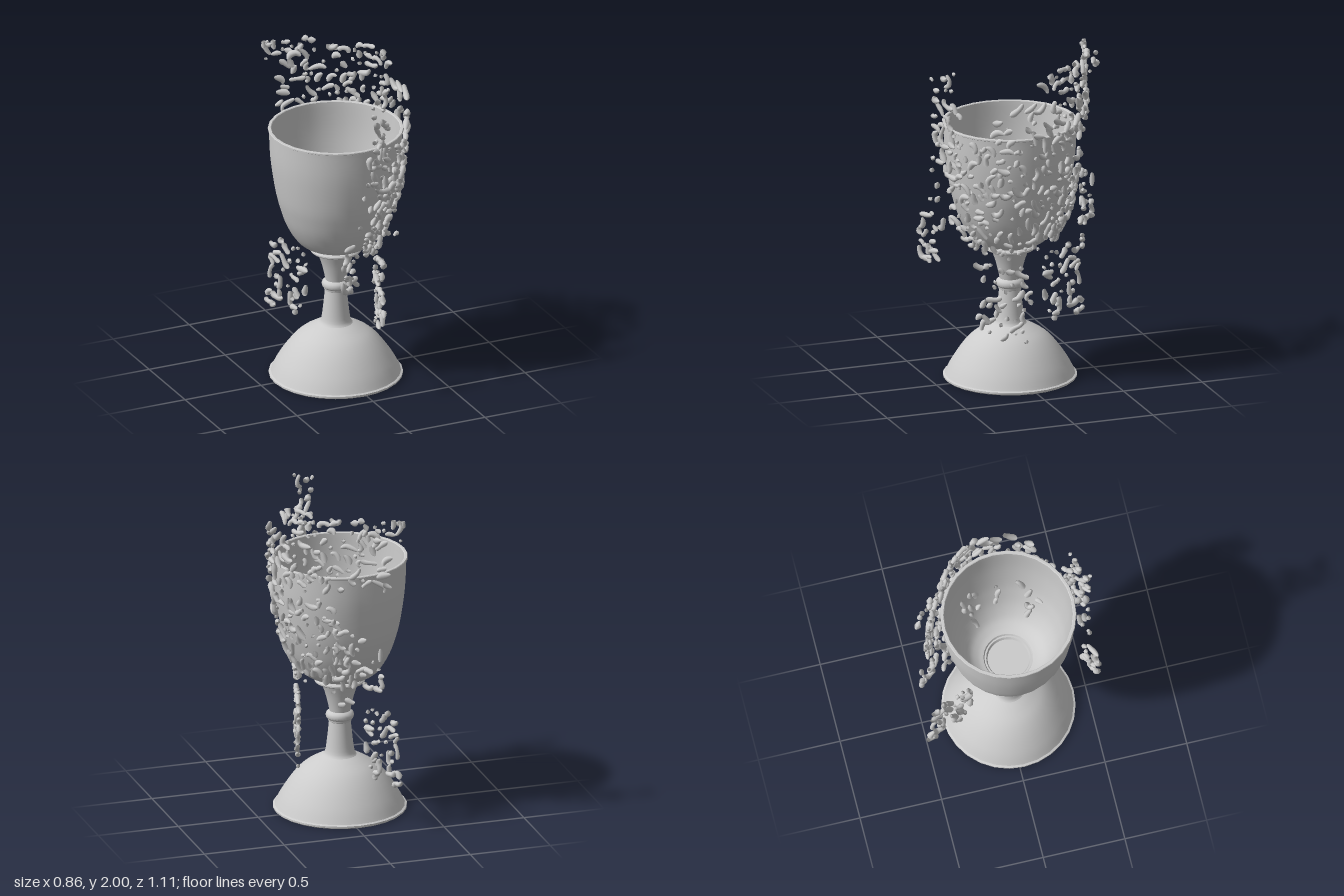
import * as THREE from 'three';
import { mergeGeometries, toCreasedNormals } from 'three/addons/utils/BufferGeometryUtils.js';

const CX = -0.02, CZ = 0.025; // goblet axis
const rad = THREE.MathUtils.degToRad;
const material = new THREE.MeshStandardMaterial({ color: 0xcccccc });

let seed = 12345;
const random = () => {
  seed = (seed * 1664525 + 1013904223) % 4294967296;
  return seed / 4294967296;
};
const between = (a, b) => a + (b - a) * random();

// smooth profile through [radius, height] points
const smooth = (points, n) =>
  new THREE.SplineCurve(points.map(p => new THREE.Vector2(...p))).getPoints(n);
const straight = points => points.map(p => new THREE.Vector2(...p));

function lathe(name, profile) {
  const mesh = new THREE.Mesh(toCreasedNormals(new THREE.LatheGeometry(profile, 28), 0.6), material);
  mesh.name = name;
  mesh.position.set(CX, 0, CZ);
  return mesh;
}

// radius of the splash sheet by height
const SHEET = [[0.2, 0.24], [0.5, 0.21], [0.8, 0.235], [0.9, 0.272], [1, 0.314], [1.1, 0.347],
  [1.2, 0.375], [1.4, 0.41], [1.6, 0.418], [1.8, 0.405], [2.1, 0.36]];
function sheetRadius(y) {
  let i = 0;
  while (i < SHEET.length - 2 && y > SHEET[i + 1][0]) i++;
  const [y0, r0] = SHEET[i], [y1, r1] = SHEET[i + 1];
  return THREE.MathUtils.mapLinear(y, y0, y1, r0, r1);
}

// sheet wrapped round the bowl, flaring outwards at its two ends (u = arc length)
const wrapped = (a0, a1, y0, y1, count, inset = 0) => ({
  count, y0, y1, u0: rad(a0) * 0.4, u1: rad(a1) * 0.4,
  at: (u, y) => {
    const a = u / 0.4;
    const flare = 0.16 * Math.max(0, (Math.abs(a) - rad(60)) / rad(54)) ** 1.7;
    const r = sheetRadius(y) + flare - inset;
    return new THREE.Vector3(CX + r * Math.cos(a), y, CZ + r * Math.sin(a));
  },
});

// upright sheet over the line (x0, z0) to (x1, z1)
function upright(x0, z0, x1, z1, y0, y1, count) {
  const length = Math.hypot(x1 - x0, z1 - z0);
  return {
    count, y0, y1, u0: 0, u1: length,
    at: (u, y) => {
      const t = THREE.MathUtils.clamp(u / length, -0.25, 1.2);
      return new THREE.Vector3(x0 + (x1 - x0) * t, y, z0 + (z1 - z0) * t);
    },
  };
}

// lumpy worm-like drop: a tube whose rings shrink to round ends
function drop(points, radius) {
  const curve = new THREE.CatmullRomCurve3(points);
  const steps = 10, sides = 8, length = curve.getLength();
  const geometry = new THREE.TubeGeometry(curve, steps, radius, sides);
  const pos = geometry.attributes.position, v = new THREE.Vector3();
  const cap = Math.min(0.5, radius * 1.4 / length), phase = between(0, 6);
  for (let i = 0; i <= steps; i++) {
    // rings crowd towards the ends
    const t = 0.5 - 0.5 * Math.cos(Math.PI * i / steps);
    const centre = curve.getPointAt(t), old = curve.getPointAt(i / steps);
    const e = Math.max(0, 1 - Math.min(t, 1 - t) / cap);
    const scale = Math.sqrt(Math.max(0, 1 - e * e)) * (1 + 0.15 * Math.sin(phase + 7 * t));
    for (let j = 0; j <= sides; j++) {
      const k = i * (sides + 1) + j;
      v.fromBufferAttribute(pos, k).sub(old).multiplyScalar(scale).add(centre);
      pos.setXYZ(k, v.x, v.y, v.z);
    }
  }
  return geometry;
}

// wandering path over a sheet, moved in or out from the axis by a share
function wander(sheet, u, y, angle, length, share) {
  const points = [], steps = 4;
  const bend = between(-0.7, 0.7);
  for (let i = 0; i < steps; i++) {
    const p = sheet.at(u, THREE.MathUtils.clamp(y, 0.28, 1.98));
    p.x += (p.x - CX) * share;
    p.z += (p.z - CZ) * share;
    points.push(p);
    u += Math.cos(angle) * length / (steps - 1);
    y += Math.sin(angle) * length / (steps - 1);
    if (y > 1.97 || y < 0.29) angle = -angle;
    angle += bend + between(-0.4, 0.4);
  }
  return points;
}

function splash(name, sheets) {
  const geometries = [], taken = [];
  for (const sheet of sheets) {
    for (let n = 0, tries = 0; n < sheet.count && tries < sheet.count * 12; tries++) {
      const u = between(sheet.u0, sheet.u1), y = between(sheet.y0, sheet.y1);
      const centre = sheet.at(u, y);
      if (taken.some(p => p.distanceTo(centre) < 0.038)) continue;
      const angle = between(0, Math.PI * 2), share = between(-0.015, 0.045);
      const length = random() < 0.3 ? between(0.016, 0.03) : between(0.04, 0.11);
      const radius = length < 0.035 ? between(0.011, 0.015) : between(0.013, 0.019);
      const path = wander(sheet, u, y, angle, length, share);
      geometries.push(drop(path, radius));
      taken.push(...path);
      // side arm on some of the longer drops
      if (length > 0.07 && random() < 0.55) {
        geometries.push(drop(wander(sheet, u, y, angle + 2, length * 0.6, share), radius));
      }
      n++;
    }
  }
  const mesh = new THREE.Mesh(mergeGeometries(geometries), material);
  mesh.name = name;
  return mesh;
}

export function createModel() {
  const group = new THREE.Group();
  group.name = 'splashingGoblet';

  // foot: closed disc with a thin edge, then a dome
  group.add(lathe('footEdge', straight([[0, 0], [0.39, 0], [0.4, 0.008], [0.4, 0.018], [0.388, 0.024]])));
  group.add(lathe('footDome', smooth([[0.388, 0.024], [0.35, 0.1], [0.286, 0.195], [0.22, 0.265],
    [0.15, 0.31], [0.1, 0.335]], 18)));

  // stem with its collar
  group.add(lathe('lowerStem', smooth([[0.1, 0.335], [0.087, 0.36], [0.075, 0.45], [0.065, 0.55]], 10)));
  group.add(lathe('stemCollar', straight([[0.062, 0.545], [0.07, 0.55], [0.072, 0.562], [0.082, 0.572],
    [0.085, 0.588], [0.08, 0.602], [0.07, 0.61], [0.062, 0.615]])));
  group.add(lathe('upperStem', smooth([[0.062, 0.61], [0.072, 0.66], [0.09, 0.73], [0.115, 0.8]], 10)));
  group.add(lathe('bowlRing', straight([[0.113, 0.797], [0.145, 0.797], [0.152, 0.804], [0.152, 0.812],
    [0.145, 0.82], [0.12, 0.82]])));

  // bowl: outer wall, rim, inner wall and sunken floor
  group.add(lathe('bowlOuter', smooth([[0.125, 0.82], [0.2, 0.852], [0.25, 0.9], [0.3, 0.99], [0.335, 1.09],
    [0.362, 1.2], [0.39, 1.4], [0.398, 1.58]], 28)));
  group.add(lathe('bowlRim', straight([[0.398, 1.58], [0.405, 1.584], [0.405, 1.592], [0.402, 1.596],
    [0.388, 1.596], [0.384, 1.592]])));
  group.add(lathe('bowlInner', smooth([[0.384, 1.592], [0.374, 1.4], [0.346, 1.2], [0.319, 1.09],
    [0.284, 0.99], [0.234, 0.905], [0.185, 0.865], [0.148, 0.85]], 28)));
  group.add(lathe('bowlFloor', straight([[0.148, 0.85], [0.142, 0.838], [0.132, 0.838],
    [0.122, 0.815], [0, 0.815]])));

  // drops clinging to the bowl
  group.add(splash('bowlDrops', [
    wrapped(-72, 82, 0.98, 1.58, 125),
    wrapped(-25, 85, 0.84, 0.98, 58),
    wrapped(-88, -35, 0.88, 1.1, 14),
  ]));

  // drops clinging to the inside of the bowl
  group.add(splash('innerDrops', [
    wrapped(-40, -24, 1.0, 1.2, 6, 0.045),
    wrapped(-3, 6, 1.05, 1.2, 4, 0.045),
    wrapped(30, 48, 1.0, 1.2, 6, 0.045),
  ]));

  // drops flying above the rim
  group.add(splash('upperDrops', [
    wrapped(-66, -14, 1.58, 1.97, 46),
    wrapped(-88, -66, 1.6, 1.85, 10),
    wrapped(-14, 32, 1.6, 1.78, 10),
    upright(0.02, -0.43, -0.24, -0.52, 1.84, 1.97, 12),
    upright(0.06, -0.43, -0.06, -0.53, 1.85, 1.97, 8),
    wrapped(-102, -82, 1.58, 1.76, 8),
    upright(0.13, 0.42, -0.02, 0.52, 1.6, 1.97, 16),
  ]));

  // drops thrown off both sides
  group.add(splash('sideDrops', [
    upright(0.2, 0.41, -0.08, 0.51, 1.0, 1.58, 26),
    upright(-0.08, 0.46, -0.21, 0.53, 0.72, 1.05, 15),
    upright(0.15, -0.36, 0, -0.43, 0.8, 1.25, 14),
    upright(-0.04, -0.44, -0.1, -0.52, 0.93, 1.1, 6),
  ]));

  // drops falling past the stem
  group.add(splash('lowerDrops', [
    upright(0.24, 0.0, 0.17, 0.28, 0.28, 0.8, 32),
    upright(-0.1, -0.22, -0.21, -0.48, 0.28, 0.72, 30),
  ]));
  return group;
}
